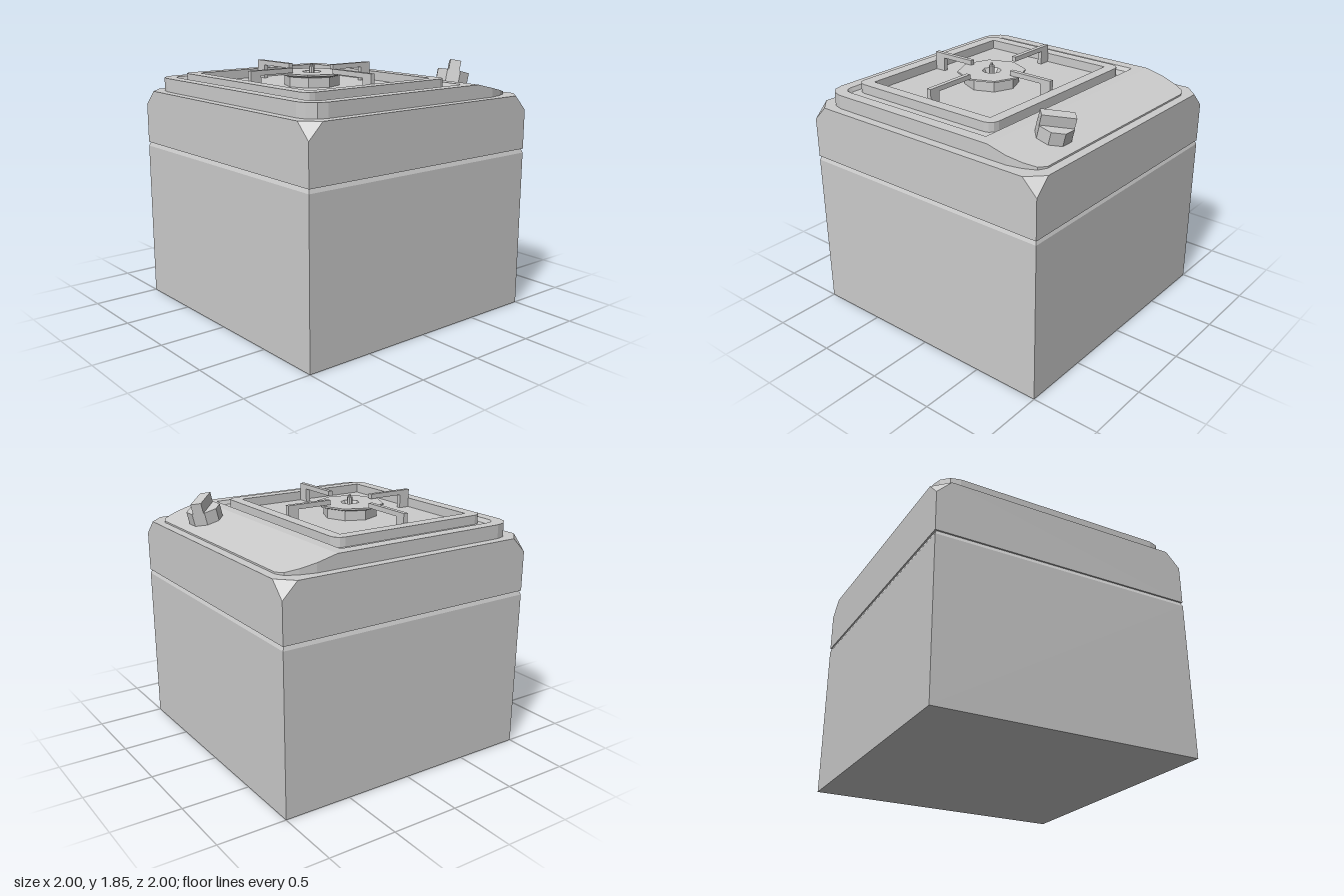
import * as THREE from 'three';
import { ConvexGeometry } from 'three/addons/geometries/ConvexGeometry.js';

const material = new THREE.MeshStandardMaterial({ color: 0xcccccc, flatShading: true, side: THREE.DoubleSide });

function add(parent, name, geometry, x = 0, y = 0, z = 0) {
  const mesh = new THREE.Mesh(geometry, material);
  mesh.name = name;
  mesh.position.set(x, y, z);
  parent.add(mesh);
  return mesh;
}

// Rectangle outline in x/z with corners cut in two facets; rBack or rFront 0 leaves them square
function outline(x, zBack, zFront, rBack, rFront) {
  const corner = (sx, z, sz, r) => {
    if (!r) return [[sx * x, z]];
    return [0, 1, 2, 3].map(i => {
      const a = i * Math.PI / 6;
      return [sx * (x - r + r * Math.cos(a)), z + sz * (r - r * Math.sin(a))];
    });
  };
  return [
    ...corner(1, zBack, 1, rBack),
    ...corner(-1, zBack, 1, rBack).reverse(),
    ...corner(-1, zFront, -1, rFront),
    ...corner(1, zFront, -1, rFront).reverse(),
  ];
}

// Upright slab from an x/z outline, with an optional hole
function slab(points, y0, y1, hole) {
  const to2 = list => list.map(([x, z]) => new THREE.Vector2(x, -z));
  const shape = new THREE.Shape(to2(points));
  if (hole) shape.holes.push(new THREE.Path(to2(hole)));
  const geometry = new THREE.ExtrudeGeometry(shape, { depth: y1 - y0, bevelEnabled: false });
  return geometry.rotateX(-Math.PI / 2).translate(0, y0, 0);
}

// Applies a rule to each vertex
function moveVertices(geometry, rule) {
  const p = geometry.attributes.position, v = new THREE.Vector3();
  for (let i = 0; i < p.count; i++) {
    rule(v.fromBufferAttribute(p, i));
    p.setXYZ(i, v.x, v.y, v.z);
  }
  geometry.computeVertexNormals();
  return geometry;
}

export function createModel() {
  const model = new THREE.Group();
  model.name = 'stove';

  // Lower cabinet and the narrow seam above it
  add(model, 'cabinet', new THREE.BoxGeometry(2, 1.17, 2), 0, 0.585, 0);
  const seam = moveVertices(new THREE.BoxGeometry(2, 0.03, 2), v => {
    if (v.y > 0) { v.x *= 0.988; v.z *= 0.988; }
  });
  add(model, 'seam', seam, 0, 1.185, 0);

  // Upper cabinet with its top corners cut off
  const points = [], c = 0.89;
  for (const x of [-1, 1]) for (const z of [-1, 1]) {
    points.push(
      new THREE.Vector3(x, 1.2, z), new THREE.Vector3(x, 1.49, z),
      new THREE.Vector3(x * c, 1.6, z), new THREE.Vector3(x, 1.6, z * c));
  }
  add(model, 'upperCabinet', new ConvexGeometry(points));

  // Cooktop deck with a tapered recess
  const cz = 0.185;
  const deck = slab(outline(0.935, -0.56, 0.935, 0, 0.14), 1.6, 1.7, outline(0.85, -0.48, 0.85, 0, 0.07));
  moveVertices(deck, v => {
    if (v.y < 1.65 && Math.abs(v.x) < 0.86 && v.z > -0.5 && v.z < 0.86 && !(v.x === 0)) {
      const inHole = Math.abs(v.x) > 0.84 || v.z > 0.7 || v.z < -0.4;
      const outerCorner = v.z > 0.855;
      if (inHole && !outerCorner) { v.x *= 0.94; v.z = cz + (v.z - cz) * 0.93; }
    }
  });
  add(model, 'deck', deck);
  add(model, 'recessFloor', new THREE.BoxGeometry(1.68, 0.07, 1.31), 0, 1.635, cz);

  // Sloping control panel behind the deck
  const back = [[0.935, -0.56], [0.935, -0.71], [0.91, -0.82], [0.87, -0.905], [0.81, -0.935]];
  const panel = slab([...back, ...back.map(([x, z]) => [-x, z]).reverse()], 1.6, 1.7);
  moveVertices(panel, v => {
    if (v.y > 1.65) v.y = 1.7 + (v.z + 0.56) * 0.235;
  });
  add(model, 'controlPanel', panel);

  // Raised tray frame
  add(model, 'trayFrame', slab(outline(0.745, -0.44, 0.82, 0.07, 0.07), 1.665, 1.737,
    outline(0.66, -0.355, 0.73, 0, 0)));

  // Four pan supports: an arm and a foot each
  const burner = new THREE.Group();
  burner.name = 'burner';
  burner.position.set(0, 1.67, 0.19);
  model.add(burner);
  for (let i = 0; i < 4; i++) {
    const support = new THREE.Group();
    support.name = 'panSupport';
    support.rotation.y = i * Math.PI / 2;
    const [inner, outer] = i % 2 ? [0.185, 0.543] : [0.255, 0.66];
    add(support, 'supportArm', new THREE.BoxGeometry(outer - inner, 0.035, 0.034), (inner + outer) / 2, 0.118, 0);
    add(support, 'supportFoot', new THREE.BoxGeometry(0.085, 0.101, 0.034), outer - 0.0425, 0.0505, 0);
    burner.add(support);
  }

  // Burner head with a central well and igniter pin
  const head = [[0.2, 0], [0.2, 0.07], [0.25, 0.085], [0.25, 0.097], [0.07, 0.097], [0.045, 0.05], [0, 0.05]];
  add(burner, 'burnerHead', new THREE.LatheGeometry(head.map(p => new THREE.Vector2(...p)), 8));
  const pin = [[0.02, 0.04], [0.02, 0.135], [0.01, 0.14], [0.01, 0.152], [0, 0.155]];
  add(burner, 'igniterPin', new THREE.LatheGeometry(pin.map(p => new THREE.Vector2(...p)), 8));

  // Octagonal knob leaning with the panel, with a diagonal grip
  const knob = new THREE.Group();
  knob.name = 'knob';
  knob.position.set(0.5, 1.63, -0.737);
  knob.rotation.x = -0.235;
  const base = new THREE.CylinderGeometry(0.1245, 0.1245, 0.12, 8).rotateY(Math.PI / 8);
  add(knob, 'knobBase', base, 0, 0.06, 0);
  const grip = add(knob, 'knobGrip', new THREE.BoxGeometry(0.23, 0.08, 0.08), 0, 0.155, 0);
  grip.rotation.y = -Math.PI / 4;
  model.add(knob);

  return model;
}
